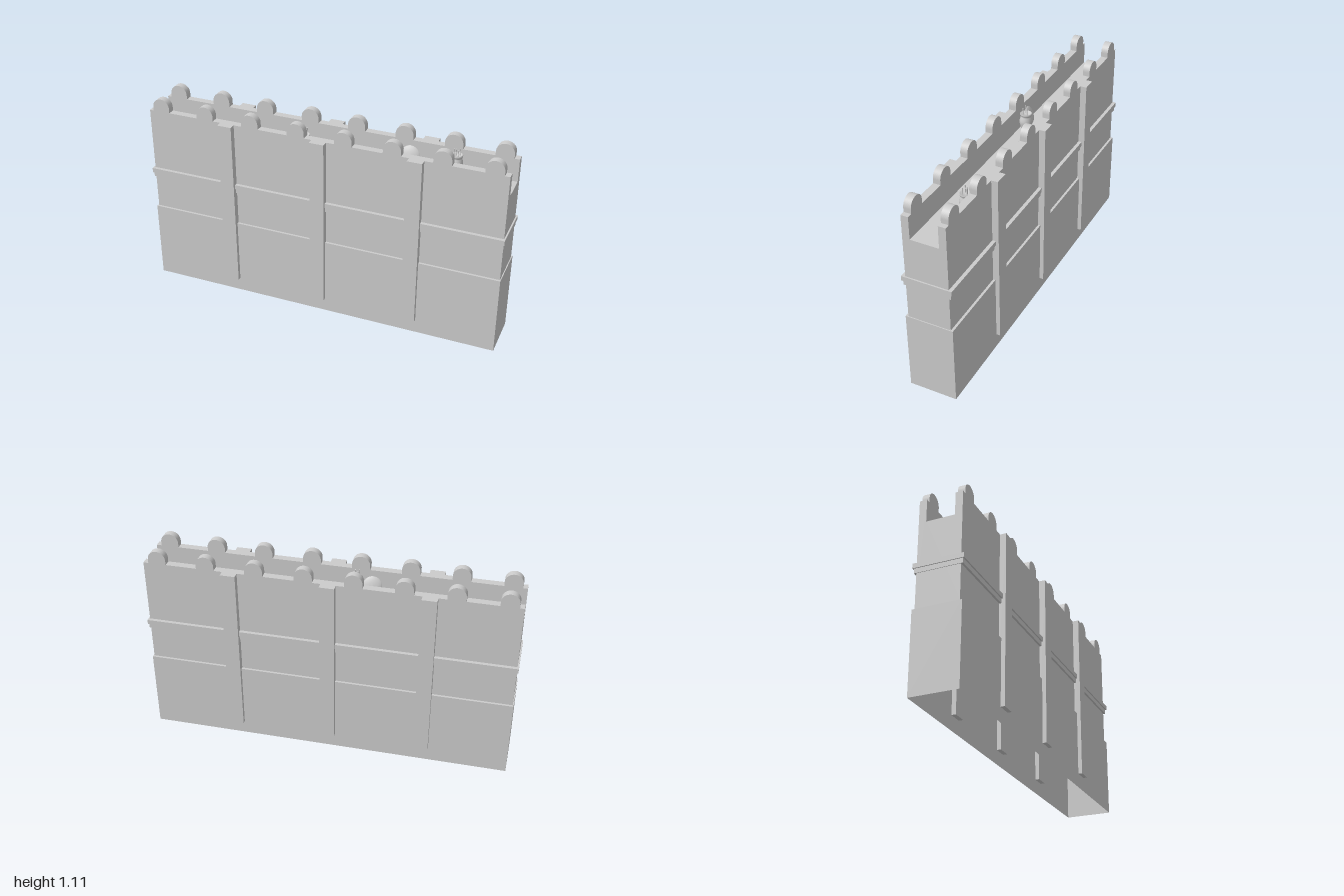
import * as THREE from 'three';

const mat = new THREE.MeshStandardMaterial({ color: 0xcccccc, side: THREE.DoubleSide });

function add(parent, name, geometry, x = 0, y = 0, z = 0) {
  const mesh = new THREE.Mesh(geometry, mat);
  mesh.name = name;
  mesh.position.set(x, y, z);
  parent.add(mesh);
  return mesh;
}

// Box given by its bottom and top heights
function block(parent, name, w, y0, y1, d, x = 0, z = 0) {
  return add(parent, name, new THREE.BoxGeometry(w, y1 - y0, d), x, (y0 + y1) / 2, z);
}

const lathe = (pts, n) => new THREE.LatheGeometry(pts.map(p => new THREE.Vector2(...p)), n);

const FLOOR = 0.913, TOP = 1.038, OUT = 0.117, IN = 0.077;

// Round-headed battlement seen from the front
function merlonGeometry() {
  const r = 0.048, spring = 0.024;
  const s = new THREE.Shape();
  s.moveTo(-r, 0);
  s.lineTo(r, 0);
  s.lineTo(r, spring);
  s.absarc(0, spring, r, 0, Math.PI, false);
  s.closePath();
  return new THREE.ExtrudeGeometry(s, { depth: OUT - IN, bevelEnabled: false, curveSegments: 14 });
}

// Jar holding a bundle of arrows
function arrowJar(x, z) {
  const g = new THREE.Group();
  g.name = 'arrowJar';
  g.position.set(x, FLOOR, z);
  add(g, 'jar', lathe([[0, 0], [0.022, 0], [0.027, 0.02], [0.034, 0.05], [0.034, 0.066],
    [0.028, 0.086], [0.025, 0.092], [0.031, 0.096], [0.032, 0.104], [0.028, 0.107],
    [0.024, 0.1], [0, 0.095]], 20));
  for (const [sx, sz, h] of [[-0.012, 0.01, 0.14], [0.01, 0.013, 0.136], [0.013, -0.012, 0.139], [-0.006, -0.004, 0.134]]) {
    add(g, 'arrowShaft', new THREE.CylinderGeometry(0.002, 0.002, h - 0.09, 6), sx, (h + 0.09) / 2, sz);
    add(g, 'arrowEnd', new THREE.CylinderGeometry(0.0035, 0.0035, 0.014, 6), sx, h - 0.007, sz);
  }
  return g;
}

// Domed round shield leaning against the parapet
function shield(x, z, yaw) {
  const mesh = add(new THREE.Group(), 'shield',
    lathe([[0.05, 0], [0.047, 0.003], [0.035, 0.008], [0.018, 0.011], [0, 0.012]], 24), x, FLOOR + 0.048, z);
  mesh.rotation.set(1.22, yaw, 0, 'YXZ');
  return mesh;
}

export function createModel() {
  const root = new THREE.Group();
  root.name = 'battlementWall';

  // Hollow plinth, open underneath
  const plinth = block(root, 'plinth', 1.994, 0, 0.443, 0.26);
  const idx = Array.from(plinth.geometry.index.array);
  idx.splice(18, 6);
  plinth.geometry.setIndex(idx);
  plinth.geometry.clearGroups();

  // Upper wall with a sunken walkway between two parapets
  const section = new THREE.Shape([[-OUT, 0.443], [OUT, 0.443], [OUT, TOP], [IN, TOP],
    [IN, FLOOR], [-IN, FLOOR], [-IN, TOP], [-OUT, TOP]].map(p => new THREE.Vector2(...p)));
  const wall = new THREE.ExtrudeGeometry(section, { depth: 1.984, bevelEnabled: false });
  wall.translate(0, 0, -0.992).rotateY(Math.PI / 2);
  add(root, 'upperWall', wall);

  // Stepped string course
  block(root, 'lowerBand', 1.99, 0.636, 0.662, 0.257);
  block(root, 'upperBand', 2, 0.662, 0.688, 0.272);

  const merlon = merlonGeometry();
  for (const side of [1, -1]) {
    // Pilasters
    for (let i = -1; i <= 1; i++) {
      block(root, 'pilaster', 0.08, 0.08, TOP, 0.046, i * 0.524 - 0.003, side * 0.129);
    }
    // Battlements
    for (let i = 0; i < 8; i++) {
      add(root, 'merlon', merlon, -0.921 + i * 0.2625, TOP, side > 0 ? IN : -OUT);
    }
  }

  // Walkway supplies
  root.add(arrowJar(-0.12, 0.034), arrowJar(0.68, -0.047));
  root.add(shield(-0.2, 0.053, Math.PI + 0.12), shield(0.43, -0.06, 0.1), shield(0.075, -0.052, 1.0));
  return root;
}
